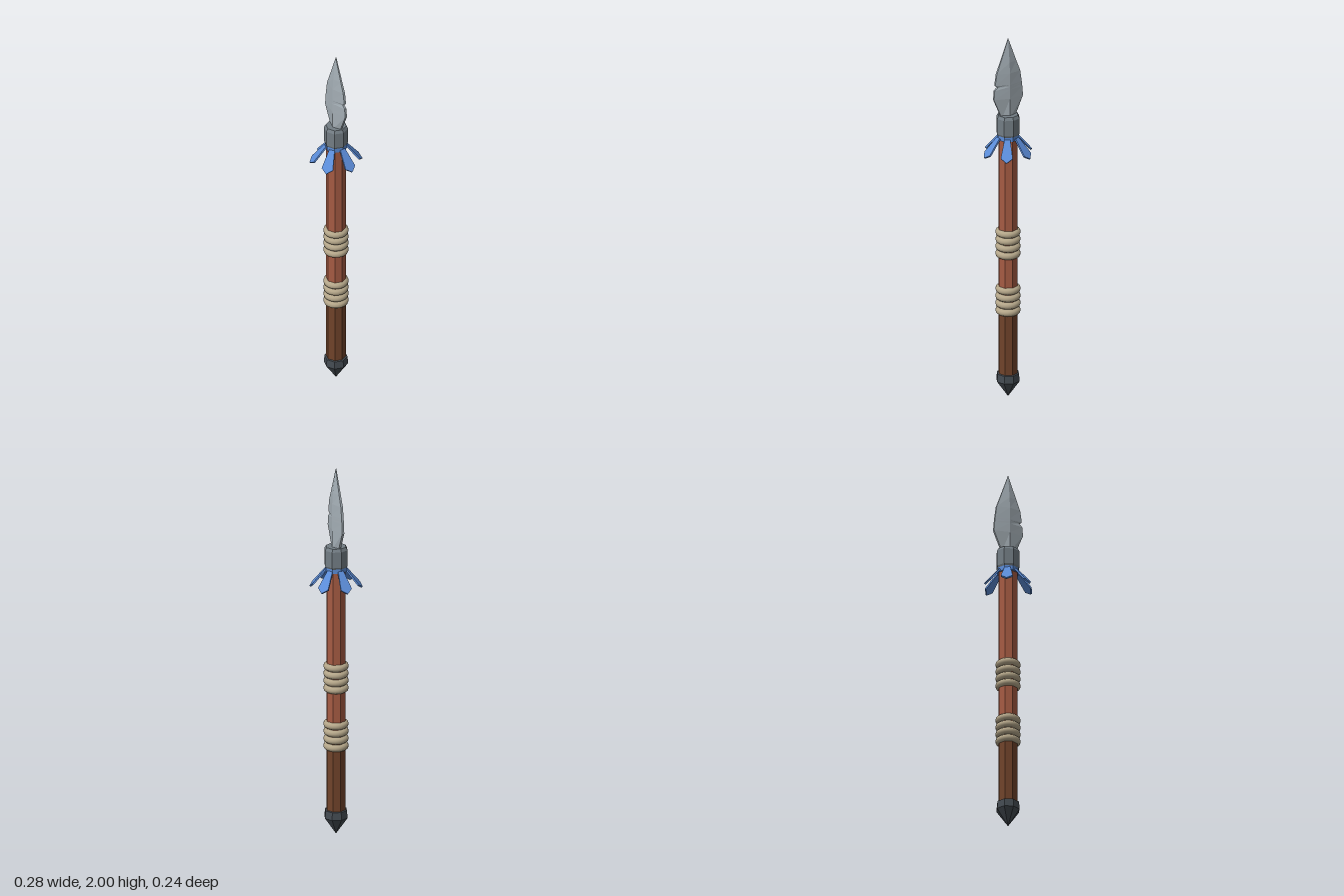
import * as THREE from 'three';

const mat = (name, color) => {
  const m = new THREE.MeshStandardMaterial({ color });
  m.name = name;
  return m;
};

export function createModel() {
  const spear = new THREE.Group();
  spear.name = 'spear';
  const steel = mat('bladeSteel', 0xa3adb4);
  const iron = mat('collarIron', 0x737d84);
  const darkIron = mat('darkIron', 0x444b52);
  const wood = mat('redWood', 0xa55b43);
  const darkWood = mat('darkWood', 0x70432a);
  const rope = mat('rope', 0xb5a78a);
  const blue = mat('blueCloth', 0x5b8cd8);

  const add = (name, geo, material, parent = spear) => {
    const m = new THREE.Mesh(geo, material);
    m.name = name;
    parent.add(m);
    return m;
  };
  // Eight-sided faceted turning, profile given as [radius, y] from bottom to top
  const turned = (name, profile, material) => {
    const pts = profile.map(([r, y]) => new THREE.Vector2(r, y));
    const geo = new THREE.LatheGeometry(pts, 8).toNonIndexed();
    geo.computeVertexNormals();
    return add(name, geo, material);
  };

  // Shaft, butt cap and socket collar
  turned('lowerShaft', [[0.052, 0.1], [0.052, 0.54]], darkWood);
  turned('upperShaft', [[0.052, 0.54], [0.052, 1.48]], wood);
  turned('buttCap', [[0, 0], [0.063, 0.09], [0.06, 0.132], [0.05, 0.135], [0, 0.135]], darkIron);
  turned('collar', [[0, 1.465], [0.058, 1.465], [0.063, 1.475], [0.063, 1.56], [0.054, 1.576], [0, 1.576]], iron);
  turned('clothBand', [[0.05, 1.438], [0.058, 1.441], [0.058, 1.467], [0.05, 1.468]], blue);

  // Two rope grips of four coils each
  for (const base of [0.483, 0.8]) {
    const grip = new THREE.Group();
    grip.name = 'ropeGrip';
    for (let i = 0; i < 4; i++) {
      const geo = new THREE.TorusGeometry(0.046, 0.02, 10, 24);
      geo.rotateX(Math.PI / 2);
      add('ropeCoil', geo, rope, grip).position.y = base + i * 0.04;
    }
    spear.add(grip);
  }

  // Six pointed cloth strips hanging outward around the band
  const strip = new THREE.Shape([
    [0, -0.015], [0.102, -0.031], [0.128, 0], [0.102, 0.031], [0, 0.015],
  ].map(([x, y]) => new THREE.Vector2(x, y)));
  const stripGeo = new THREE.ExtrudeGeometry(strip, { depth: 0.009, bevelEnabled: false });
  stripGeo.rotateX(-Math.PI / 2);
  stripGeo.rotateZ(-0.88);
  stripGeo.translate(0.05, 1.449, 0);
  for (let i = 0; i < 6; i++) {
    add('clothStrip', stripGeo, blue).rotation.y = (i * Math.PI) / 3;
  }

  // Blade: hexagonal cross-sections [y, left x, right x, ridge z, edge z], chipped on one edge
  const rows = [
    [1.56, -0.038, 0.038, 0.023, 0.006],
    [1.67, -0.084, 0.084, 0.023, 0.006],
    [1.72, -0.08, 0.08, 0.023, 0.006],
    [1.737, -0.078, 0.062, 0.023, 0.006],
    [1.747, -0.077, 0.077, 0.023, 0.006],
    [1.81, -0.068, 0.068, 0.022, 0.006],
    [1.87, -0.046, 0.046, 0.018, 0.005],
    [2, 0, 0, 0.002, 0.002],
  ];
  const pos = [];
  const ring = ([y, l, r, z, e]) => [
    [r, y, e], [0, y, z], [l, y, e], [l, y, -e], [0, y, -z], [r, y, -e],
  ];
  for (let i = 0; i < rows.length - 1; i++) {
    const a = ring(rows[i]), b = ring(rows[i + 1]);
    for (let j = 0; j < 6; j++) {
      const k = (j + 1) % 6;
      // Corners run clockwise seen from above, so the lower edge is taken in reverse
      pos.push(...a[k], ...a[j], ...b[j], ...a[k], ...b[j], ...b[k]);
    }
  }
  const bladeGeo = new THREE.BufferGeometry();
  bladeGeo.setAttribute('position', new THREE.Float32BufferAttribute(pos, 3));
  bladeGeo.computeVertexNormals();
  add('blade', bladeGeo, steel);

  return spear;
}
